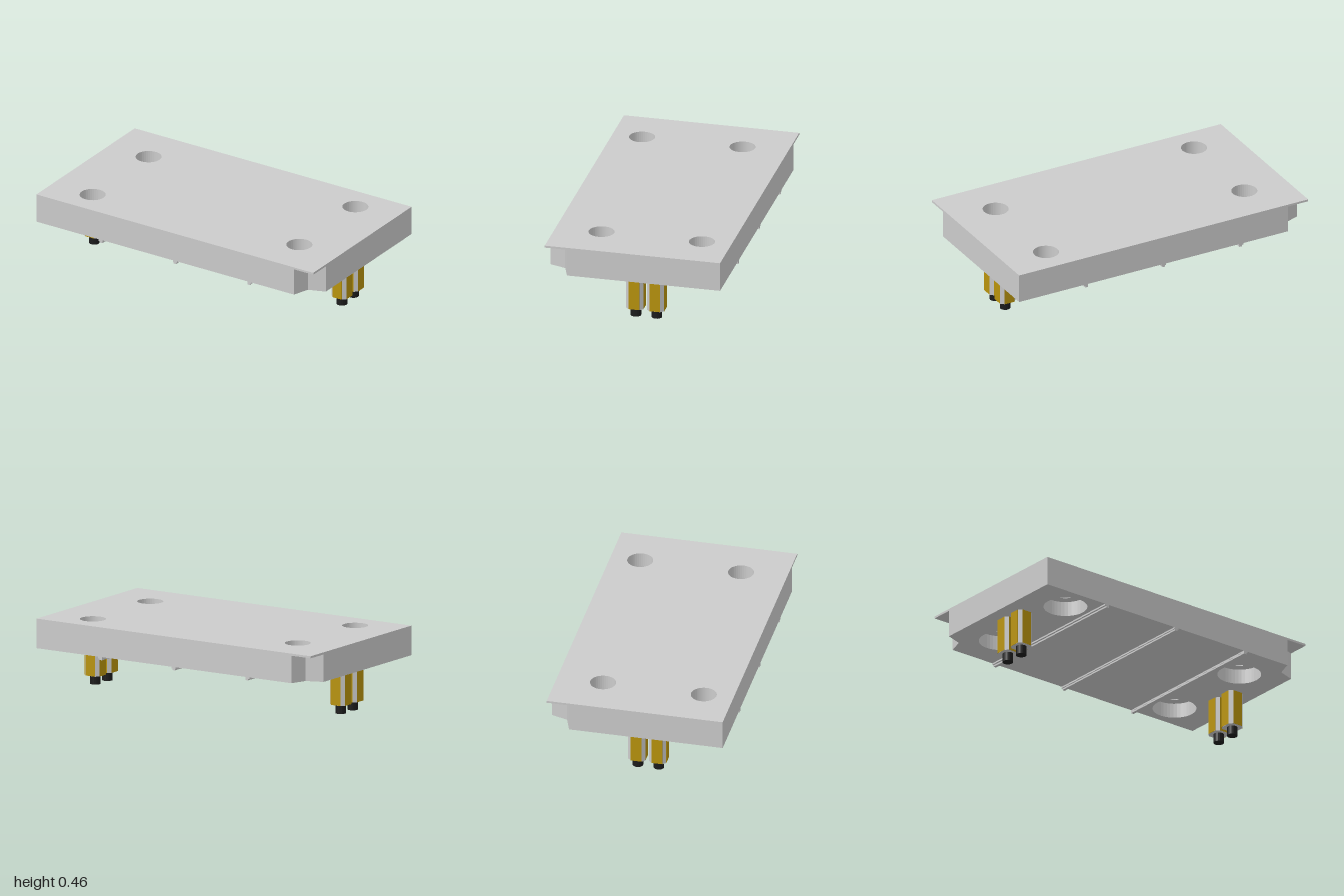
import * as THREE from 'three';

const W = 1, D = 0.547;
const TOP = 0.46, UNDER = 0.277;
const HOLES = [[-0.715, -0.263], [0.713, -0.363], [-0.713, 0.363], [0.715, 0.263]];

const grey = new THREE.MeshStandardMaterial({ color: 0xcccccc, flatShading: true });
const gold = new THREE.MeshStandardMaterial({ color: 0xb8930c, flatShading: true });
const black = new THREE.MeshStandardMaterial({ color: 0x1c1c1c, flatShading: true });

function addMesh(parent, name, geometry, material, x = 0, y = 0, z = 0) {
  const mesh = new THREE.Mesh(geometry, material);
  mesh.name = name;
  mesh.position.set(x, y, z);
  parent.add(mesh);
  return mesh;
}

// Horizontal slab from an outline in (x, z), between two heights
function slab(outline, holeRadius, bottom, top) {
  const shape = new THREE.Shape(outline.map(([x, z]) => new THREE.Vector2(x, z)));
  if (holeRadius) {
    for (const [x, z] of HOLES) {
      shape.holes.push(new THREE.Path().absarc(x, z, holeRadius, 0, Math.PI * 2, true));
    }
  }
  const geometry = new THREE.ExtrudeGeometry(shape, { depth: top - bottom, bevelEnabled: false, curveSegments: 20 });
  return geometry.rotateX(Math.PI / 2).translate(0, top, 0);
}

// Chamfered square contact housing with gold side panels and a black tip
function createPin() {
  const pin = new THREE.Group();
  pin.name = 'contactPin';
  const h = 0.0535, c = 0.0335, low = 0.055;
  const octagon = [[h, -c], [h, c], [c, h], [-c, h], [-h, c], [-h, -c], [-c, -h], [c, -h]];
  addMesh(pin, 'pinHousing', slab(octagon, 0, low, UNDER), grey);
  const height = UNDER - low - 0.001, mid = (UNDER + low) / 2;
  for (const turn of [0, Math.PI / 2]) {
    const panels = addMesh(pin, 'goldPanels', new THREE.BoxGeometry(c * 2, height, h * 2 + 0.002), gold, 0, mid, 0);
    panels.rotation.y = turn;
  }
  addMesh(pin, 'pinTip', new THREE.CylinderGeometry(0.0325, 0.0325, low, 16), black, 0, low / 2, 0);
  return pin;
}

export function createModel() {
  const model = new THREE.Group();
  model.name = 'mountingPlate';

  // Thin full-size top skin over a body notched at two opposite corners
  const full = [[-W, -D], [W, -D], [W, D], [-W, D]];
  const half = [[W, -D], [W, 0.408], [0.895, 0.445], [0.86, D]];
  const notched = [...half, ...half.map(([x, z]) => [-x, -z])];
  addMesh(model, 'topSkin', slab(full, 0.079, 0.447, TOP), grey);
  addMesh(model, 'upperBody', slab(notched, 0.079, 0.37, 0.447), grey);
  // Wider recesses around the holes open downwards
  addMesh(model, 'lowerBody', slab(notched, 0.133, UNDER, 0.37), grey);

  // Ribs across the underside, stepped in profile
  for (const side of [-1, 0, 1]) {
    const x = side * 0.538;
    addMesh(model, 'ribBase', new THREE.BoxGeometry(0.03, 0.01, D * 2), grey, x, UNDER - 0.005, 0);
    addMesh(model, 'ribStem', new THREE.BoxGeometry(0.018, 0.011, D * 2), grey, x - side * 0.005, UNDER - 0.0145, 0);
  }

  // A pair of pins near each end, turned half way round from each other
  for (const s of [1, -1]) {
    for (const z of [0.012, -0.118]) {
      const pin = createPin();
      pin.position.set(s * 0.86, 0, s * z);
      model.add(pin);
    }
  }
  return model;
}
